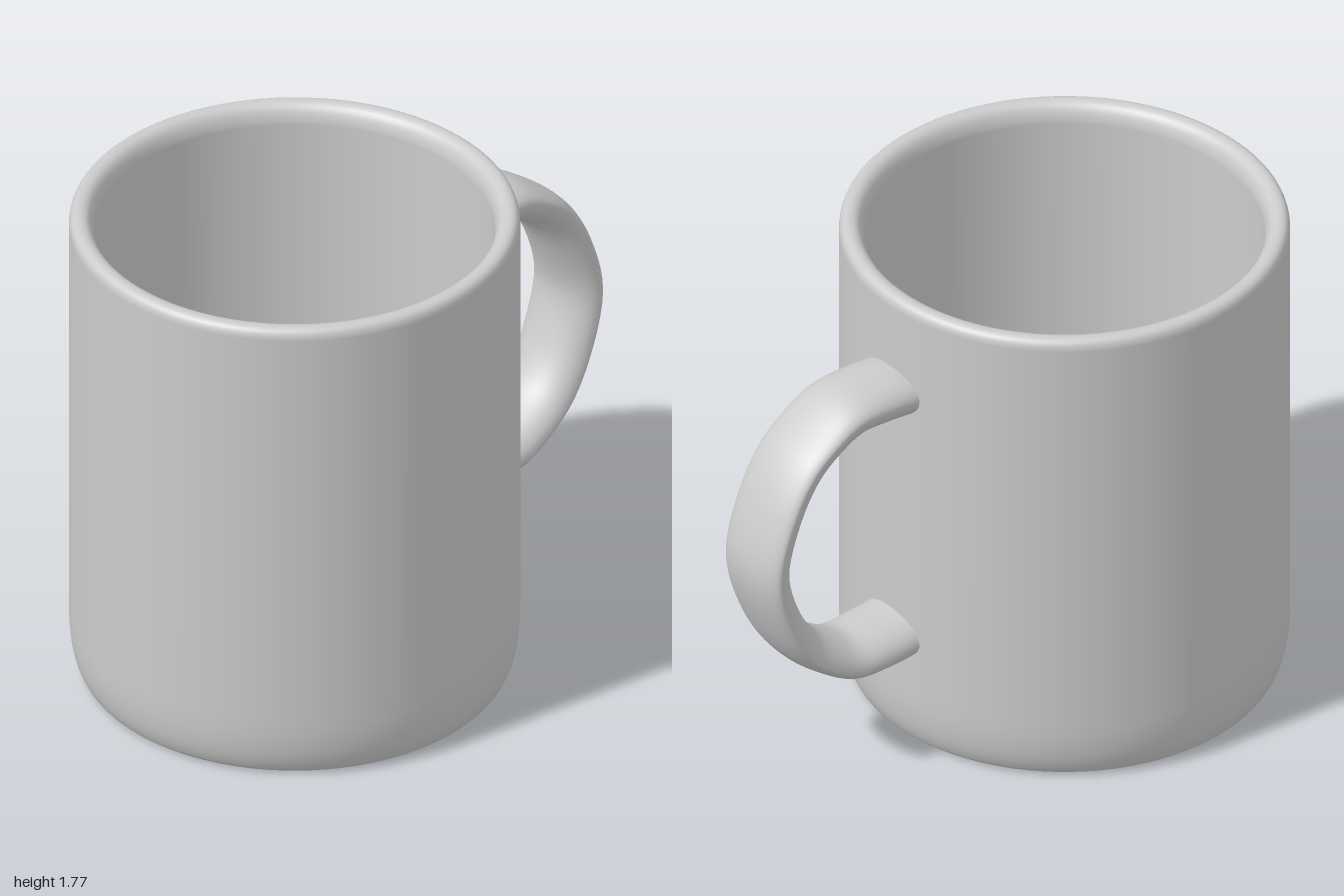
import * as THREE from 'three';
import { ParametricGeometry } from 'three/addons/geometries/ParametricGeometry.js';

const RADIUS = 0.757, HEIGHT = 1.77, INNER = 0.672;

// Cup wall, rim and floor as one closed lathe profile
function cupGeometry() {
  const path = new THREE.Path();
  path.moveTo(0, 0);
  path.lineTo(0.69, 0);
  path.quadraticCurveTo(0.71, 0.002, 0.722, 0.022);
  path.quadraticCurveTo(RADIUS, 0.08, RADIUS, 0.22);
  path.lineTo(RADIUS, 0.8);
  path.lineTo(RADIUS, HEIGHT - 0.04);
  path.quadraticCurveTo(RADIUS - 0.002, HEIGHT, RADIUS - 0.035, HEIGHT);
  path.quadraticCurveTo(INNER + 0.008, HEIGHT, INNER, HEIGHT - 0.07);
  path.lineTo(INNER, 0.8);
  path.lineTo(INNER, 0.13);
  path.quadraticCurveTo(INNER, 0.09, INNER - 0.04, 0.09);
  path.lineTo(0, 0.09);
  return new THREE.LatheGeometry(path.getPoints(8), 96);
}

// Handle: an egg-shaped section swept along a C, x measured from the cup axis
function handleGeometry() {
  const middle = 0.92;
  const upper = [[0.69, 0.485], [0.84, 0.5], [0.98, 0.5], [1.09, 0.45], [1.19, 0.37], [1.28, 0.22]];
  const points = [
    ...upper.map(([x, y]) => new THREE.Vector3(x, middle + y, 0)),
    new THREE.Vector3(1.337, middle, 0),
    ...upper.slice().reverse().map(([x, y]) => new THREE.Vector3(x, middle - y, 0)),
  ];
  const curve = new THREE.CatmullRomCurve3(points, false, 'centripetal');

  return new ParametricGeometry((u, v, target) => {
    const p = curve.getPoint(u), t = curve.getTangent(u);
    const a = v * Math.PI * 2;
    // The section is rounder where it meets the cup
    const root = THREE.MathUtils.smoothstep(Math.abs(u - 0.5) * 2, 0.4, 0.95);
    const depth = Math.sin(a) > 0 ? 0.042 + 0.038 * root : 0.093;
    const d = Math.sin(a) * depth;
    target.set(p.x - t.y * d, p.y + t.x * d, Math.cos(a) * 0.145);
  }, 72, 36);
}

export function createModel() {
  const material = new THREE.MeshStandardMaterial({ color: 0xcccccc });
  const mug = new THREE.Group();
  mug.name = 'mug';

  const cup = new THREE.Mesh(cupGeometry(), material);
  cup.name = 'cup';

  const handle = new THREE.Mesh(handleGeometry(), material);
  handle.name = 'handle';
  handle.rotation.y = Math.PI / 6; // turned towards the back

  mug.add(cup, handle);
  mug.position.set(-0.243, 0, 0.02);

  const model = new THREE.Group();
  model.add(mug);
  return model;
}
